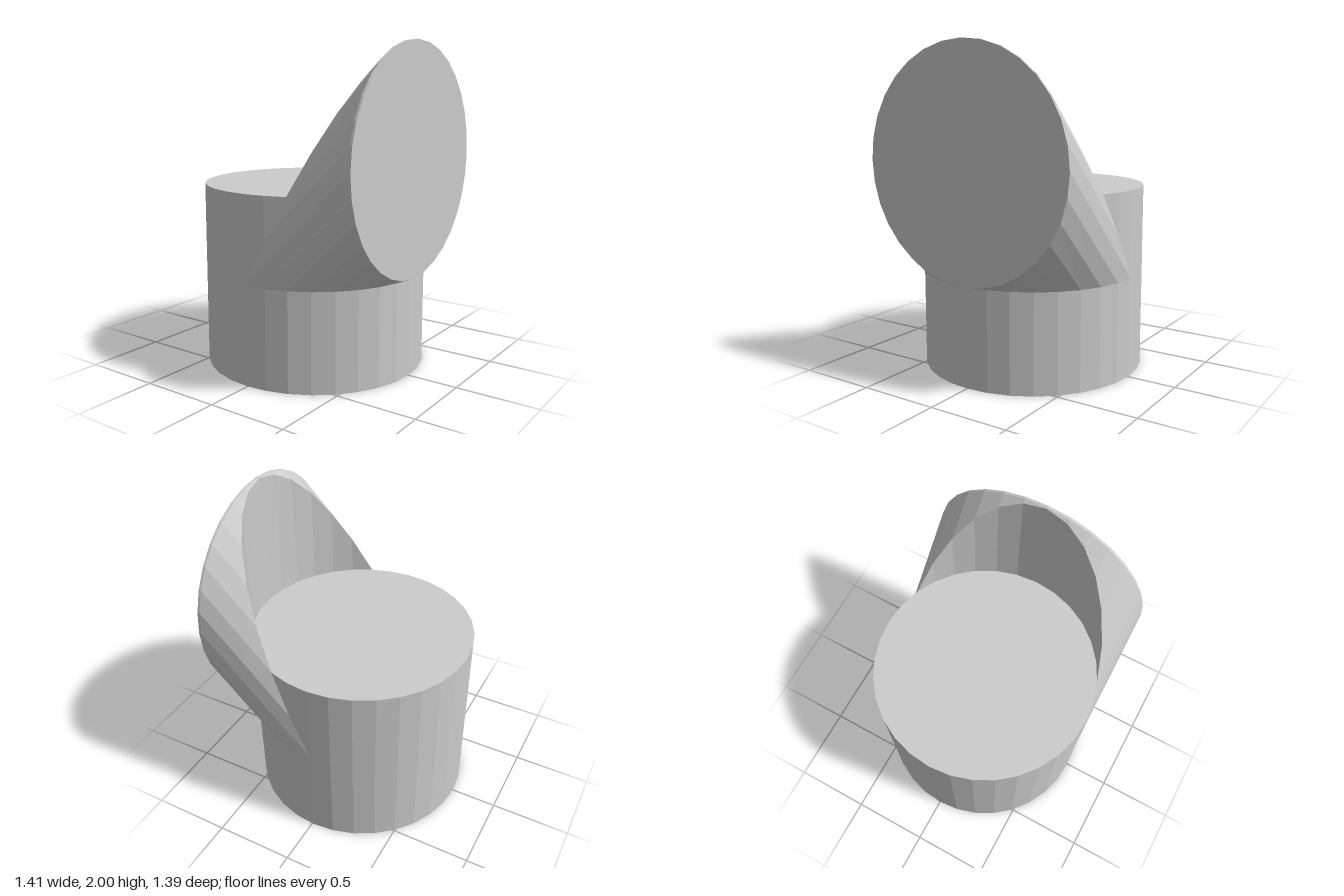
import * as THREE from 'three';

const R = 0.695;       // radius of the drum and of the slanted disc
const CX = -0.01;      // drum axis
const H = 1.14;        // drum height
const CY = 1.305;      // disc centre height
const LOW = 0.607, LOW_TOP = 0.622;  // level where the hood leaves the drum
const BACK = 0.69, FACE = 0.705;     // the two sides of the thin disc
const HALF = 16;       // facets per half circle

// Facets between two rows of points
function strip(out, a, b) {
  for (let i = 0; i < a.length - 1; i++) {
    out.push(a[i], a[i + 1], b[i + 1], a[i], b[i + 1], b[i]);
  }
}

// Half circle of points, from the front (+z) to the back (-z)
function half(fn) {
  return Array.from({ length: HALF + 1 }, (_, i) => {
    const u = (i / HALF) * Math.PI;
    return fn(R * Math.sin(u), R * Math.cos(u));
  });
}

// Slanted hood: an oblique solid ending in the disc, hollowed by the drum
function hoodGeometry() {
  const V = (x, y, z) => new THREE.Vector3(x, y, z);
  const topEdge = (s) => LOW_TOP + (CY + s - LOW_TOP) * (2 * s) / (BACK - CX + s);

  const lower = half((s, z) => V(CX + s, LOW, z));
  const upper = half((s, z) => V(CX + s, topEdge(s), z));
  const wallFoot = half((s, z) => V(CX + s, Math.min(H, topEdge(s)), z));
  const faceLow = half((s, z) => V(FACE, CY - s, z));
  const faceHigh = half((s, z) => V(FACE, CY + s, z));
  const backHigh = half((s, z) => V(BACK, CY + s, z));

  const loop = (a, b) => [...a, ...b.reverse(), a[0]];
  const drumRing = loop(lower, [...upper]);
  const rimRing = loop(faceLow, [...backHigh]);
  const faceRing = loop(faceLow, [...faceHigh]);
  const centre = faceRing.map(() => V(FACE, CY, 0));

  const pts = [];
  strip(pts, drumRing, rimRing);  // outer shell
  strip(pts, rimRing, faceRing);  // disc rim
  strip(pts, faceRing, centre);   // flat face
  strip(pts, upper, wallFoot);    // concave inner wall

  // Leave out triangles with no area
  const solid = [];
  for (let i = 0; i < pts.length; i += 3) {
    const t = new THREE.Triangle(pts[i], pts[i + 1], pts[i + 2]);
    if (t.getArea() > 1e-9) solid.push(t.a, t.b, t.c);
  }
  const geo = new THREE.BufferGeometry().setFromPoints(solid);
  geo.computeVertexNormals();
  return geo;
}

export function createModel() {
  const group = new THREE.Group();
  const material = new THREE.MeshStandardMaterial({ color: 0xcccccc, flatShading: true });

  const drum = new THREE.Mesh(new THREE.CylinderGeometry(R, R, H, HALF * 2), material);
  drum.position.set(CX, H / 2, 0);
  drum.name = 'drum';

  const hood = new THREE.Mesh(hoodGeometry(), material);
  hood.name = 'slantedHood';

  group.add(drum, hood);
  return group;
}
